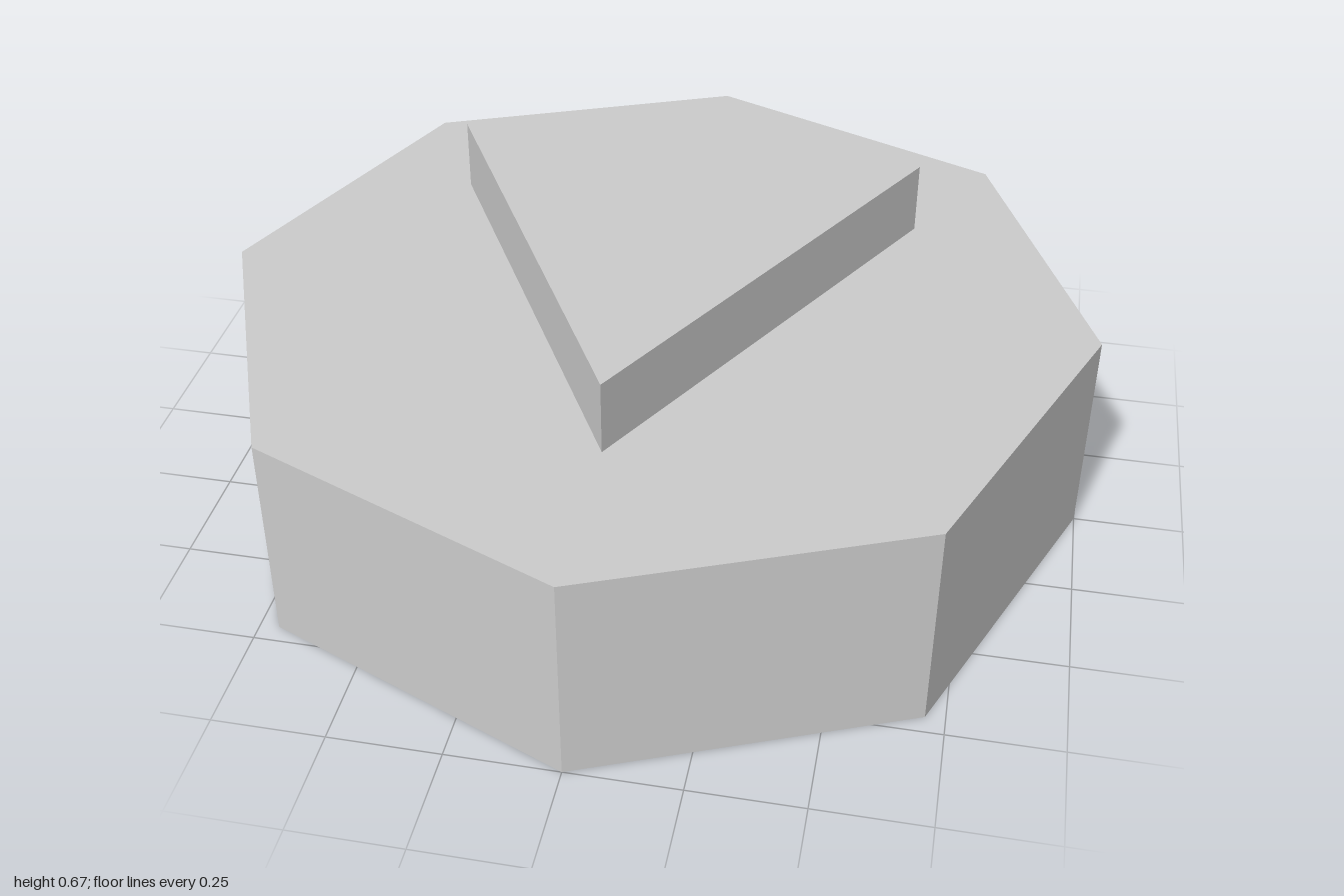
import * as THREE from 'three';

export function createModel() {
  const group = new THREE.Group();
  const material = new THREE.MeshStandardMaterial({ color: 0xcccccc, flatShading: true });

  // Octagonal base with a corner facing the front
  const base = new THREE.Mesh(new THREE.CylinderGeometry(1, 1, 0.5, 8), material);
  base.name = 'base';
  base.position.y = 0.25;
  group.add(base);

  // Raised triangular pointer, tip towards the front (shape y becomes -z)
  const triangle = new THREE.Shape([
    new THREE.Vector2(0, -0.585),
    new THREE.Vector2(0.553, 0.41),
    new THREE.Vector2(-0.553, 0.41),
  ]);
  const pointerGeometry = new THREE.ExtrudeGeometry(triangle, { depth: 0.17, bevelEnabled: false });
  pointerGeometry.rotateX(-Math.PI / 2);
  const pointer = new THREE.Mesh(pointerGeometry, material);
  pointer.name = 'trianglePointer';
  pointer.position.y = 0.5;
  group.add(pointer);

  return group;
}
